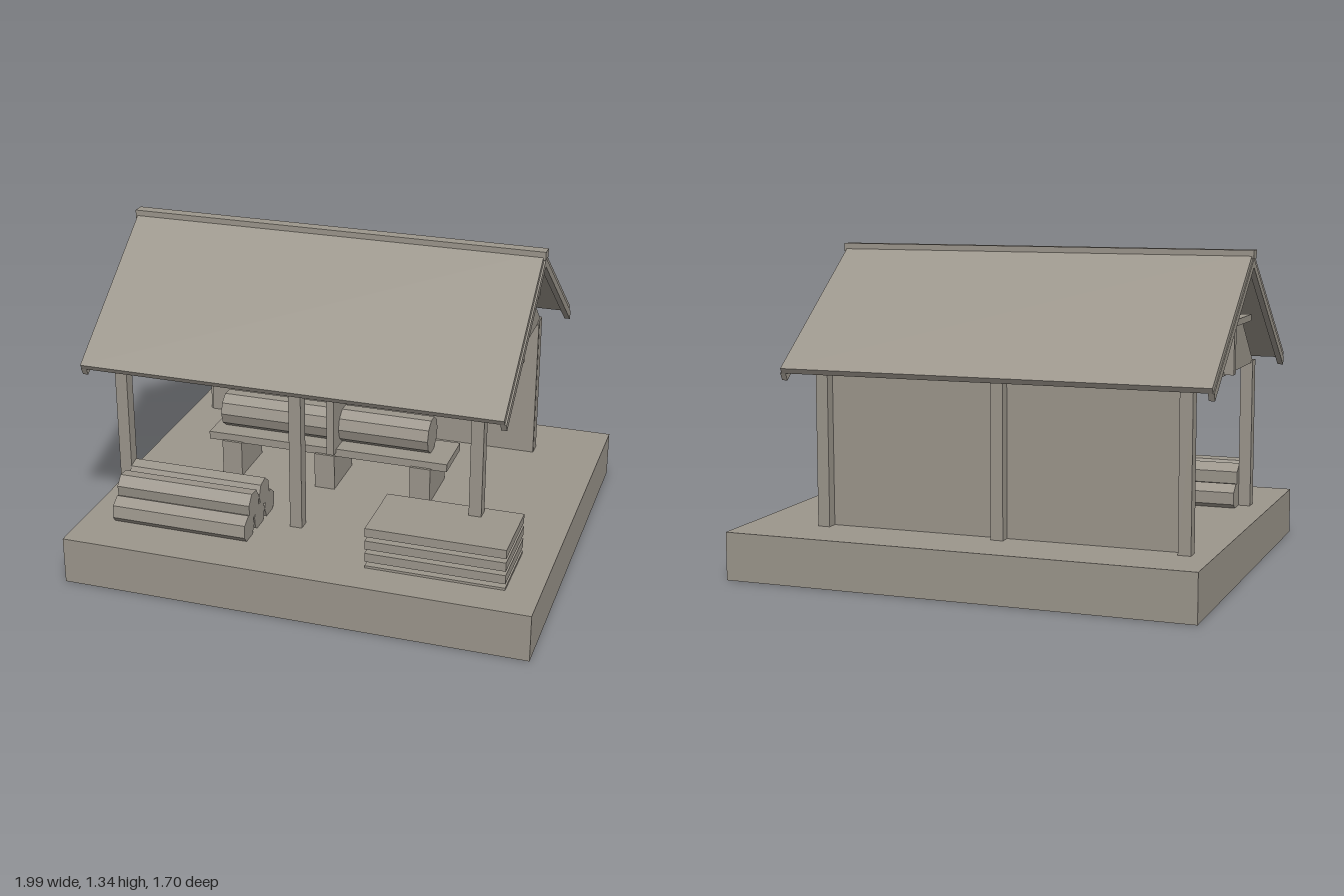
import * as THREE from 'three';

export function createModel() {
  const model = new THREE.Group();
  const grey = new THREE.MeshStandardMaterial({ color: 0x9c968c, flatShading: true });
  grey.name = 'weathered grey';

  const add = (name, geometry) => {
    const mesh = new THREE.Mesh(geometry, grey);
    mesh.name = name;
    model.add(mesh);
    return mesh;
  };
  // Box given by its limits on each axis
  const box = (name, x0, x1, y0, y1, z0, z1) =>
    add(name, new THREE.BoxGeometry(x1 - x0, y1 - y0, z1 - z0)
      .translate((x0 + x1) / 2, (y0 + y1) / 2, (z0 + z1) / 2));
  // Outline of [z, y] points extruded along x
  const prism = (name, points, x0, x1) => {
    const shape = new THREE.Shape(points.map(([z, y]) => new THREE.Vector2(z, y)));
    const geometry = new THREE.ExtrudeGeometry(shape, { depth: x1 - x0, bevelEnabled: false });
    return add(name, geometry.rotateY(-Math.PI / 2).translate(x1, 0, 0));
  };
  // Log lying along x
  const log = (name, x0, x1, y, z, radius, sides, turn = 0) =>
    add(name, new THREE.CylinderGeometry(radius, radius, x1 - x0, sides)
      .rotateY(turn).rotateZ(Math.PI / 2).translate((x0 + x1) / 2, y, z));

  // Ground slab
  box('base', -0.98, 0.99, 0, 0.2, -0.85, 0.845);

  // Posts and back wall
  for (const x of [-0.865, -0.098, 0.665]) {
    box('frontPost', x - 0.026, x + 0.026, 0.2, 0.84, 0.4, 0.455);
    box('backPost', x - 0.026, x + 0.026, 0.2, 0.84, -0.615, -0.56);
  }
  box('backWall', -0.88, 0.69, 0.2, 0.825, -0.568, -0.552);

  // Roof panels with a rafter under each end
  const ridgeZ = -0.081;
  const panel = [[ridgeZ, 1.335], [0.565, 0.863], [0.552, 0.842], [ridgeZ, 1.307]];
  const rafter = [[ridgeZ, 1.307], [0.552, 0.842], [0.537, 0.812], [ridgeZ, 1.27]];
  for (const side of [1, -1]) {
    const flip = (points) => points.map(([z, y]) => [ridgeZ + side * (z - ridgeZ), y]);
    prism('roofPanel', flip(panel), -0.992, 0.793);
    prism('rafter', flip(rafter), -0.996, -0.972);
    prism('rafter', flip(rafter), 0.776, 0.8);
  }
  box('ridgeCap', -1, 0.803, 1.305, 1.34, -0.107, -0.055);

  // Gable ends: infill, king post and cross beam
  for (const [x, out] of [[0.665, 1], [-0.865, -1]]) {
    prism('gable', [[0.435, 0.83], [-0.61, 0.83], [ridgeZ, 1.29]], x - 0.02, x + 0.02);
    const a = x + out * 0.02, b = x + out * 0.06;
    const lo = Math.min(a, b), hi = Math.max(a, b);
    box('kingPost', lo, hi, 0.835, 1.275, -0.098, -0.064);
    box('crossBeam', lo, hi, 1.03, 1.057, -0.372, 0.21);
  }

  // Saw bench with the log and the blade plate
  for (const x of [-0.53, -0.1, 0.33]) box('benchLeg', x - 0.045, x + 0.045, 0.2, 0.36, -0.17, 0.078);
  box('benchTop', -0.64, 0.445, 0.355, 0.39, -0.158, 0.066);
  log('benchLog', -0.595, 0.35, 0.467, -0.045, 0.08, 10);
  box('sawPlate', -0.083, -0.05, 0.375, 0.76, -0.193, 0.1);

  // Log pile
  [[0.245, 0.36], [0.245, 0.48], [0.245, 0.6], [0.327, 0.42], [0.327, 0.54]].forEach(([y, z], i) =>
    log('pileLog', -0.84, -0.25, y, z, 0.06, 7, i * 0.3));

  // Stack of boards
  for (let i = 0; i < 4; i++) {
    const y = 0.172 + i * 0.056;
    box('board', 0.275, 0.85, y, y + 0.038, 0.375, 0.688);
  }
  return model;
}
